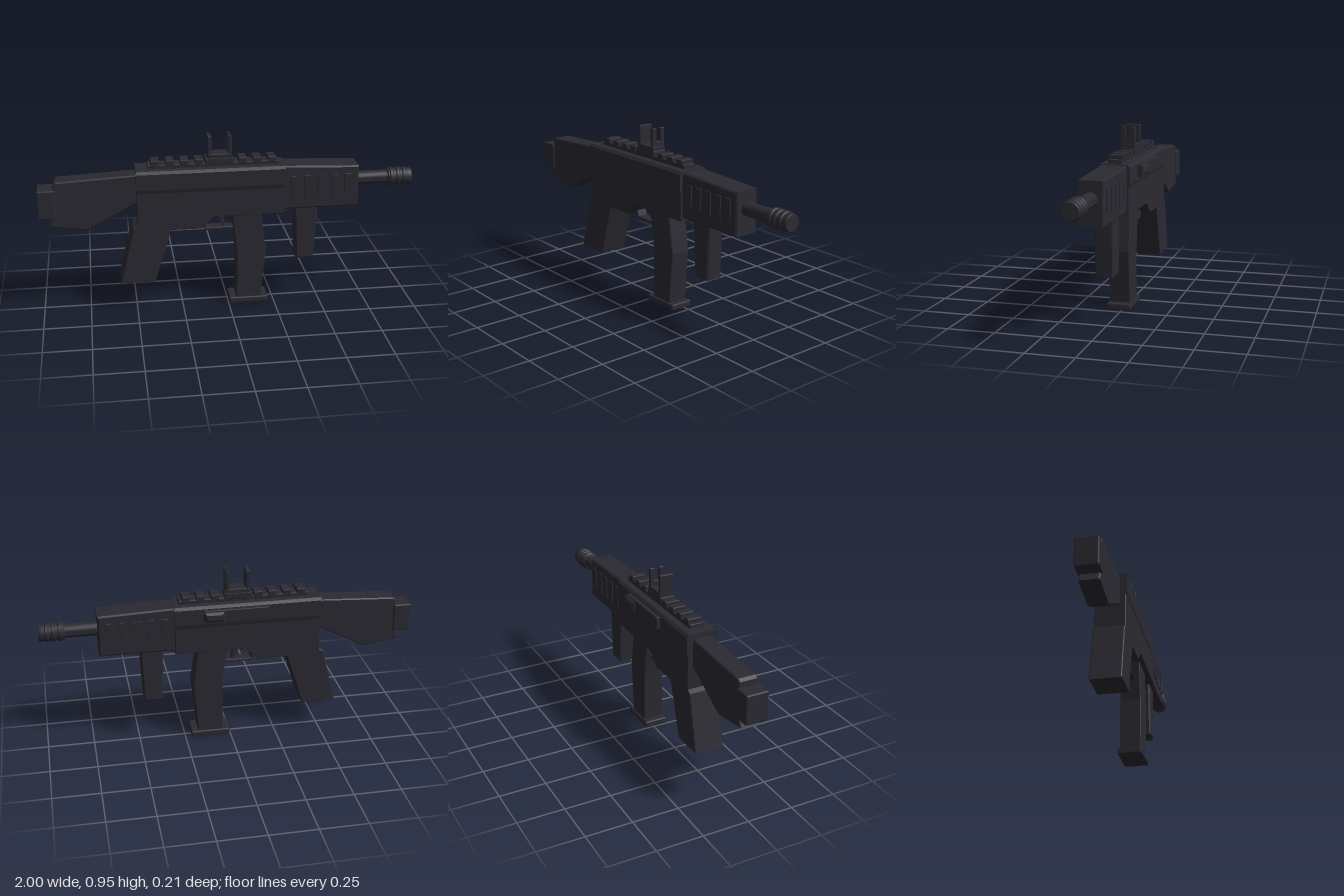
import * as THREE from 'three';
import { toCreasedNormals } from 'three/addons/utils/BufferGeometryUtils.js';
import { RoundedBoxGeometry } from 'three/addons/geometries/RoundedBoxGeometry.js';

const gunmetal = new THREE.MeshStandardMaterial({ color: 0x2b2a32 });
gunmetal.name = 'gunmetal';

export function createModel() {
  const model = new THREE.Group();
  model.name = 'rifle';
  const body = new THREE.Group();
  body.name = 'body';
  body.position.z = 0.019;
  model.add(body);

  const add = (name, geometry, x = 0, y = 0, z = 0) => {
    const mesh = new THREE.Mesh(geometry, gunmetal);
    mesh.name = name;
    mesh.position.set(x, y, z);
    body.add(mesh);
    return mesh;
  };
  // Side outline given thickness, centred on z, with chamfered edges
  const slab = (points, half, bevel = 0.006) => {
    const shape = new THREE.Shape(points.map(p => new THREE.Vector2(...p)));
    const geometry = new THREE.ExtrudeGeometry(shape, {
      depth: 2 * (half - bevel), bevelEnabled: bevel > 0, bevelSize: bevel,
      bevelThickness: bevel, bevelOffset: -bevel, bevelSegments: 1,
    });
    return geometry.translate(0, 0, bevel - half);
  };
  // Box from its limits in x and y and a half width in z
  const block = (name, x0, x1, y0, y1, half, z = 0, radius = 0.004) =>
    add(name, new RoundedBoxGeometry(x1 - x0, y1 - y0, 2 * half, 1, radius),
      (x0 + x1) / 2, (y0 + y1) / 2, z);
  // Turned part running along x
  const turned = (name, points) => {
    const geometry = new THREE.LatheGeometry(points.map(([x, r]) => new THREE.Vector2(r, x)), 24);
    return add(name, toCreasedNormals(geometry, 0.6).rotateZ(-Math.PI / 2), 0, 0.678);
  };

  // Receiver: wide upper cover with chamfered shoulders over the lower body
  const cover = new THREE.Shape([
    [-0.081, 0.67], [0.081, 0.67], [0.087, 0.69], [0.087, 0.776],
    [0.074, 0.79], [-0.074, 0.79], [-0.087, 0.776], [-0.087, 0.69],
  ].map(p => new THREE.Vector2(...p)));
  add('upperReceiver', new THREE.ExtrudeGeometry(cover, { depth: 0.785, bevelEnabled: false })
    .rotateY(Math.PI / 2), -0.487);
  add('lowerReceiver', slab([
    [-0.487, 0.68], [-0.487, 0.475], [-0.47, 0.46], [-0.15, 0.46], [-0.08, 0.525],
    [0.298, 0.525], [0.298, 0.68],
  ], 0.081, 0.003));

  // Pistol grip
  add('grip', slab([
    [-0.51, 0.475], [-0.585, 0.165], [-0.4, 0.165], [-0.305, 0.475], [-0.47, 0.5],
  ], 0.081, 0.004));

  // Stock and butt pad
  add('stock', slab([
    [-0.48, 0.765], [-0.9, 0.743], [-0.915, 0.73], [-0.92, 0.55], [-0.947, 0.5],
    [-0.755, 0.472], [-0.73, 0.478], [-0.48, 0.612],
  ], 0.052));
  block('buttPad', -1, -0.905, 0.545, 0.702, 0.061, 0, 0.008);

  // Handguard with raised side panels
  add('handguard', slab([
    [0.29, 0.785], [0.29, 0.543], [0.697, 0.543], [0.697, 0.77],
  ], 0.069, 0.008));
  for (const side of [-1, 1]) {
    for (let i = 0; i < 5; i++) {
      const x = 0.35 + i * 0.072;
      block('handguardPanel', x - 0.019, x + 0.019, 0.605, 0.73, 0.004, side * 0.071, 0.002);
    }
  }

  // Tapered foregrip
  add('foregrip', slab([[0.357, 0.55], [0.371, 0.243], [0.469, 0.243], [0.482, 0.55]], 0.049, 0.008));

  // Barrel and ringed muzzle
  turned('barrel', [[0.68, 0], [0.68, 0.037], [0.88, 0.037], [0.88, 0]]);
  const muzzle = [[0.865, 0], [0.865, 0.041], [0.872, 0.046]];
  for (let i = 0; i < 3; i++) {
    const x = 0.878 + i * 0.034;
    muzzle.push([x, 0.046], [x + 0.004, 0.051], [x + 0.018, 0.051], [x + 0.022, 0.046]);
  }
  muzzle.push([0.994, 0.046], [1, 0.042], [1, 0]);
  turned('muzzle', muzzle);

  // Magazine with base plate
  add('magazine', slab([
    [0.014, 0.54], [0.043, 0.32], [0.043, 0.02], [0.177, 0.02], [0.203, 0.315], [0.17, 0.54],
  ], 0.056, 0.004));
  block('magazineBase', 0.005, 0.217, 0, 0.034, 0.065, 0, 0.007);

  // Trigger and guard
  add('triggerGuard', slab([
    [-0.15, 0.475], [-0.125, 0.43], [0.04, 0.43], [0.04, 0.443], [-0.118, 0.443], [-0.13, 0.475],
  ], 0.03, 0.002));
  add('trigger', slab([[-0.06, 0.53], [-0.03, 0.44], [-0.012, 0.44], [-0.03, 0.53]], 0.012, 0.002));

  // Top rail with teeth
  block('rail', -0.425, 0.27, 0.78, 0.811, 0.038);
  for (let i = 0; i < 9; i++) {
    const x = -0.385 + i * 0.077;
    block('railTooth', x - 0.022, x + 0.022, 0.8, 0.833, 0.04);
  }

  // Open sight: clamp, rear plate and forked front post
  block('sightClamp', -0.122, 0.026, 0.805, 0.836, 0.041);
  block('sightBase', -0.11, 0.02, 0.83, 0.858, 0.04);
  block('sightRearPlate', -0.11, -0.088, 0.84, 0.955, 0.039);
  add('sightFrontFork', slab([
    [-0.039, 0.84], [0.039, 0.84], [0.039, 0.955], [0.014, 0.955], [0.014, 0.885],
    [-0.014, 0.885], [-0.014, 0.955], [-0.039, 0.955],
  ], 0.01, 0.002).rotateY(Math.PI / 2), 0.009);

  // Bolt slide and charging handle on the far side
  block('boltSlide', -0.2, 0.145, 0.705, 0.772, 0.012, -0.094);
  add('chargingHandle', slab([
    [0.04, 0.712], [0.145, 0.712], [0.145, 0.765], [0.04, 0.765],
  ], 0.016, 0.012), 0, 0, -0.108);

  return model;
}
